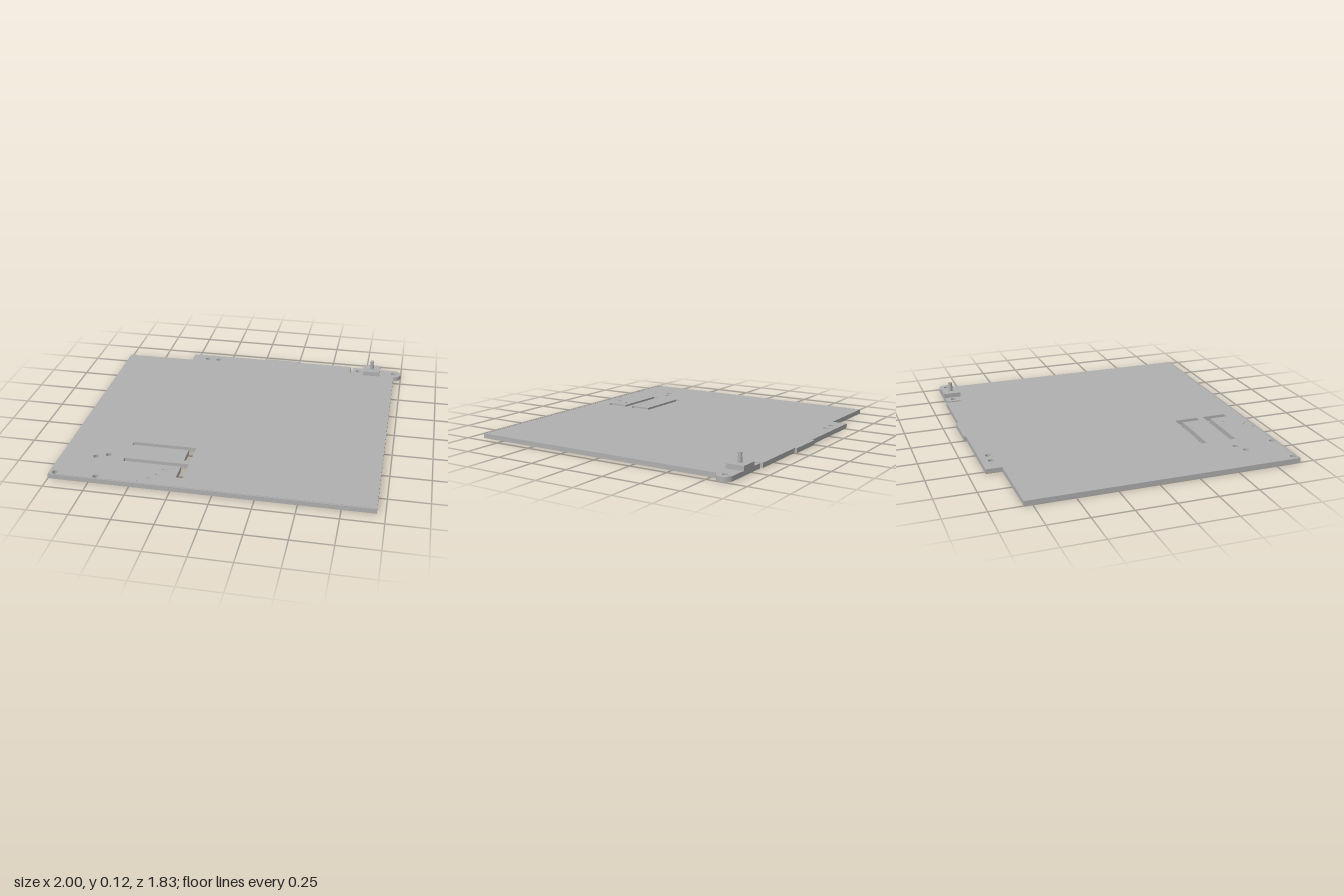
import * as THREE from 'three';

const HEIGHT = 0.03;   // plate thickness
const SKIN = 0.004;    // depth of the engraved marks
const HOLES = [
  [-0.415, -0.84], [-0.335, -0.84], [0.695, -0.84], [0.95, -0.84],
  [-0.78, 0.66], [-0.71, 0.627], [-0.963, 0.88], [-0.71, 0.88],
];

const polygon = (points) => new THREE.Path(points.map(([x, z]) => new THREE.Vector2(x, z)));

// Plate outline in x and z, with stepped rear edge and rounded mounting ear
function plateShape(frontZ) {
  const s = new THREE.Shape();
  [[-1, frontZ], [-1, -0.8], [-0.53, -0.8], [-0.53, -0.9], [0, -0.9], [0, -0.915],
    [0.24, -0.915], [0.24, -0.9], [0.638, -0.9], [0.638, -0.8], [0.656, -0.8], [0.656, -0.89]]
    .forEach(([x, z], i) => (i ? s.lineTo(x, z) : s.moveTo(x, z)));
  s.lineTo(0.95, -0.89);
  s.absarc(0.95, -0.84, 0.05, -Math.PI / 2, Math.PI / 2, false);
  s.lineTo(0.95, frontZ);
  s.closePath();

  // Round screw holes
  for (const [x, z] of HOLES) s.holes.push(new THREE.Path().absarc(x, z, 0.018, 0, Math.PI * 2, true));

  // Two L-shaped slots
  for (const z of [0.448, 0.645]) {
    s.holes.push(polygon([[-0.603, z], [-0.2, z], [-0.2, z + 0.157],
      [-0.24, z + 0.157], [-0.24, z + 0.035], [-0.603, z + 0.035]]));
  }
  return s;
}

// Extrude a floor-plan shape between two heights
function slab(shape, bottom, top) {
  const g = new THREE.ExtrudeGeometry(shape, { depth: top - bottom, bevelEnabled: false, curveSegments: 20 });
  return g.rotateX(Math.PI / 2).translate(0, top, 0);
}

export function createModel() {
  const model = new THREE.Group();
  model.name = 'mountingPlate';
  const grey = new THREE.MeshStandardMaterial({ color: 0xb0b0b0 });
  grey.name = 'grey metal';

  const add = (name, geometry) => {
    const mesh = new THREE.Mesh(geometry, grey);
    mesh.name = name;
    model.add(mesh);
    return mesh;
  };

  // Plate body, and a thin upper layer that carries the engraved marks
  add('plateBody', slab(plateShape(0.91), 0, HEIGHT - SKIN));
  const upper = plateShape(0.9);
  for (const degrees of [14, 30, 45, 61]) {
    const a = THREE.MathUtils.degToRad(degrees);
    const r0 = 0.232, r1 = degrees > 50 ? 0.246 : 0.272, w = 0.005;
    const at = (r, t) => [-0.57 + r * Math.cos(a) - t * Math.sin(a), 0.675 + r * Math.sin(a) + t * Math.cos(a)];
    upper.holes.push(polygon([at(r0, -w), at(r1, -w), at(r1, w), at(r0, w)]));
  }
  add('plateSurface', slab(upper, HEIGHT - SKIN, HEIGHT));

  // Narrow lip in front of the groove
  add('frontLip', new THREE.BoxGeometry(1.95, SKIN, 0.006)).position.set(-0.025, HEIGHT - SKIN / 2, 0.907);

  // Square block with a necked pin on the ear
  add('pinBlock', new THREE.BoxGeometry(0.118, 0.03, 0.114)).position.set(0.791, 0.045, -0.84);
  const profile = [[0.014, 0.06], [0.014, 0.095], [0.011, 0.095], [0.011, 0.106], [0.014, 0.106], [0.014, 0.12], [0, 0.12]];
  const pinPoints = profile.flatMap((p, i) => (i && i < profile.length - 1 ? [p, p] : [p]))
    .map(([r, y]) => new THREE.Vector2(r, y));
  // Each profile segment is turned separately to keep the edges sharp
  for (let i = 0; i < pinPoints.length; i += 2) {
    add('pin', new THREE.LatheGeometry(pinPoints.slice(i, i + 2), 24)).position.set(0.791, 0, -0.84);
  }
  return model;
}
